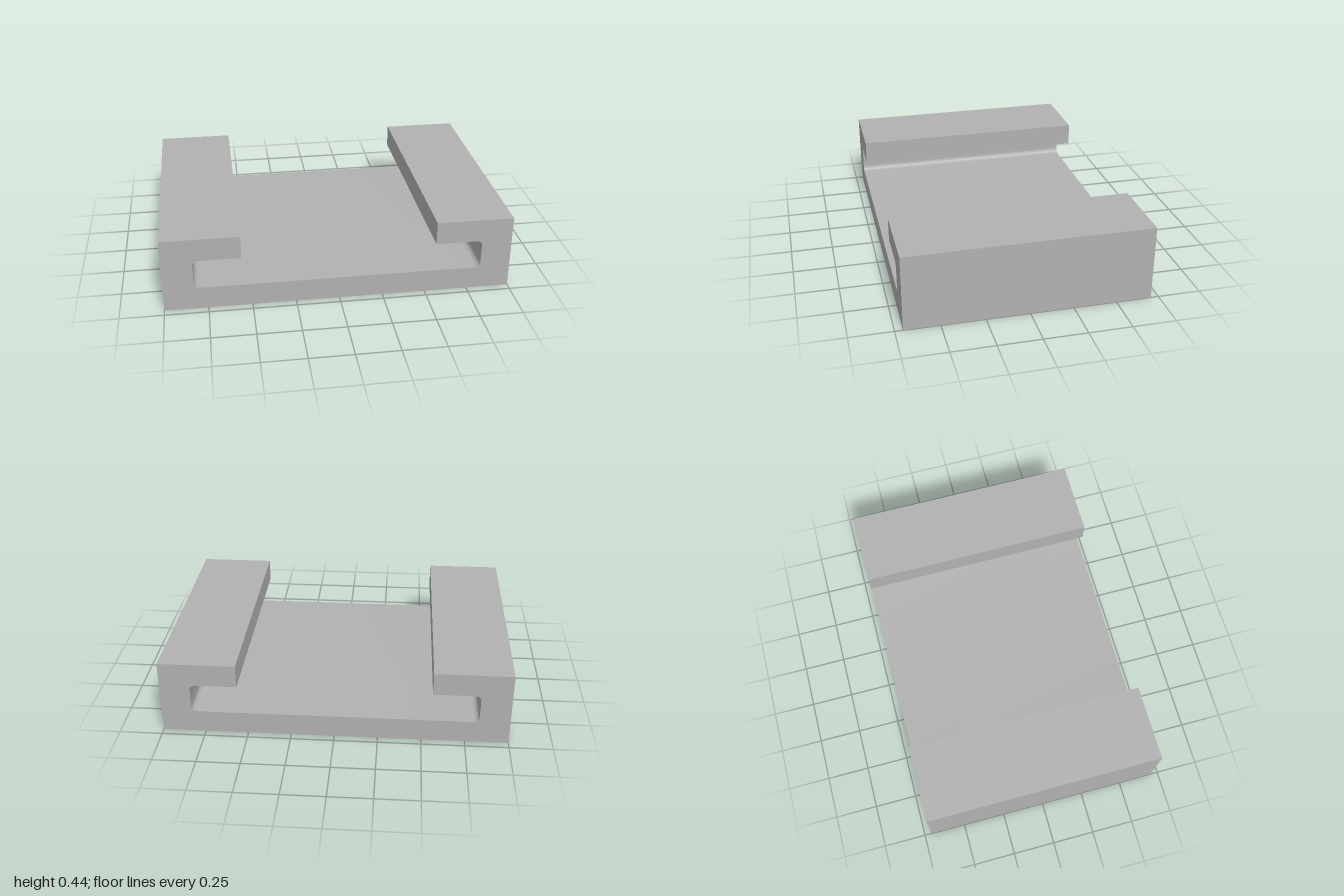
import * as THREE from 'three';
import { toCreasedNormals } from 'three/addons/utils/BufferGeometryUtils.js';

const WIDTH = 2, HEIGHT = 0.445, DEPTH = 1.41;
const LIP_X = 0.555;                          // inner edge of each top lip
const SLOT_X = 0.825, FLOOR_Y = 0.135, LIP_Y = 0.31; // slot walls, floor and ceiling
const FILLET = 0.03;

export function createModel() {
  const group = new THREE.Group();
  group.name = 'slottedRail';

  const grey = new THREE.MeshStandardMaterial({ color: 0xb1b1b1 });
  grey.name = 'grey';

  // C-shaped channel section, counter-clockwise, with filleted slot corners
  const w = WIDTH / 2, r = FILLET;
  const section = new THREE.Shape();
  section.moveTo(-w, 0);
  section.lineTo(w, 0);
  section.lineTo(w, HEIGHT);
  section.lineTo(LIP_X, HEIGHT);
  section.lineTo(LIP_X, LIP_Y);
  section.absarc(SLOT_X - r, LIP_Y - r, r, Math.PI / 2, 0, true);
  section.absarc(SLOT_X - r, FLOOR_Y + r, r, 0, -Math.PI / 2, true);
  section.absarc(-SLOT_X + r, FLOOR_Y + r, r, -Math.PI / 2, -Math.PI, true);
  section.absarc(-SLOT_X + r, LIP_Y - r, r, Math.PI, Math.PI / 2, true);
  section.lineTo(-LIP_X, LIP_Y);
  section.lineTo(-LIP_X, HEIGHT);
  section.lineTo(-w, HEIGHT);
  section.closePath();

  // Straight extrusion, smooth only around the fillets
  const geometry = new THREE.ExtrudeGeometry(section, {
    depth: DEPTH, bevelEnabled: false, curveSegments: 8,
  });
  geometry.translate(0, 0, -DEPTH / 2);

  const channel = new THREE.Mesh(toCreasedNormals(geometry, 0.5), grey);
  channel.name = 'channelBody';
  group.add(channel);
  return group;
}
